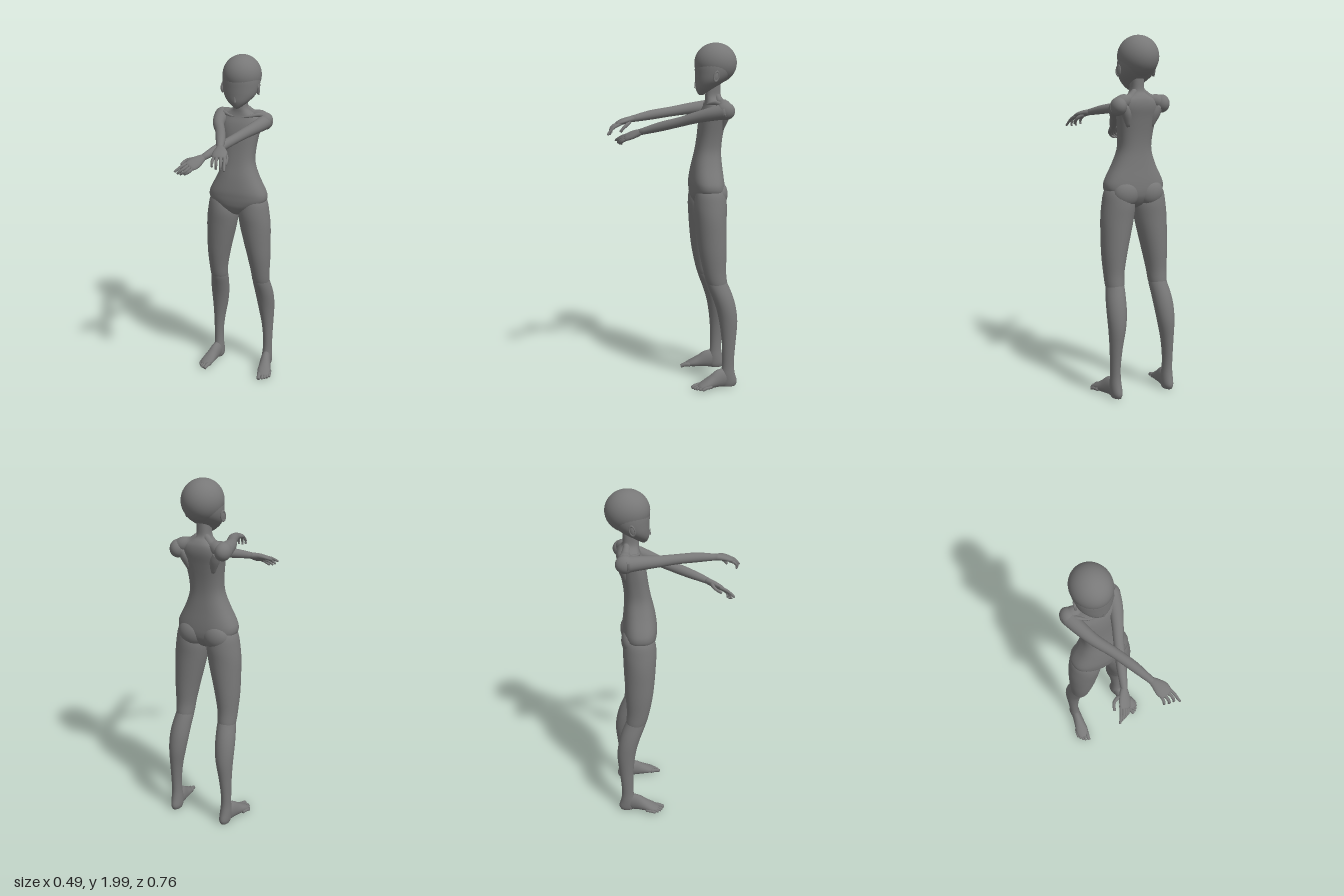
import * as THREE from 'three';

const material = new THREE.MeshStandardMaterial({ color: 0x787878 });
const V = (x, y, z) => new THREE.Vector3(x, y, z);
const bulge = (c, p) => Math.sign(c) * Math.abs(c) ** p;

// Smooth body through sections [x, y, z, radiusAcross, radiusDeep].
// With level = true every ring stays horizontal, otherwise rings follow the path.
// power below 1 makes the rings squarer.
function sweep(name, sections, { sides = 20, steps = 4, up = V(0, 0, 1), level = false, power = 1 } = {}) {
  const path = new THREE.CatmullRomCurve3(sections.map(s => V(s[0], s[1], s[2])), false, 'catmullrom', 0.5);
  const radii = new THREE.CatmullRomCurve3(sections.map(s => V(s[3], s[4] ?? s[3], 0)), false, 'catmullrom', 0.5);
  const rows = (sections.length - 1) * steps;
  const pos = [], index = [];
  for (let i = 0; i <= rows; i++) {
    const c = path.getPoint(i / rows), r = radii.getPoint(i / rows);
    const t = level ? V(0, 1, 0) : path.getTangent(i / rows);
    const u = up.clone().cross(t).normalize(), v = t.clone().cross(u);
    for (let j = 0; j < sides; j++) {
      const a = j / sides * Math.PI * 2;
      const p = c.clone().addScaledVector(u, r.x * bulge(Math.cos(a), power))
        .addScaledVector(v, r.y * bulge(Math.sin(a), power));
      pos.push(p.x, p.y, p.z);
    }
  }
  for (let i = 0; i < rows; i++) for (let j = 0; j < sides; j++) {
    const a = i * sides + j, b = i * sides + (j + 1) % sides;
    index.push(a, b, a + sides, b, b + sides, a + sides);
  }
  // end caps
  const first = pos.length / 3, last = rows * sides;
  for (const p of [path.getPoint(0), path.getPoint(1)]) pos.push(p.x, p.y, p.z);
  for (let j = 0; j < sides; j++) {
    const k = (j + 1) % sides;
    index.push(first, k, j, first + 1, last + j, last + k);
  }
  const geo = new THREE.BufferGeometry();
  geo.setAttribute('position', new THREE.Float32BufferAttribute(pos, 3));
  geo.setIndex(index);
  geo.computeVertexNormals();
  const mesh = new THREE.Mesh(geo, material);
  mesh.name = name;
  return mesh;
}

// Upright body from rows [y, half width, front z, back z]
const body = (name, rows, options) => sweep(name,
  rows.map(([y, w, f, b]) => [0, y, (f + b) / 2, w, (f - b) / 2]), { level: true, ...options });

function ball(name, x, y, z, rx, ry, rz, w = 24, h = 16) {
  const mesh = new THREE.Mesh(new THREE.SphereGeometry(1, w, h), material);
  mesh.name = name;
  mesh.position.set(x, y, z);
  mesh.scale.set(rx, ry, rz);
  return mesh;
}

// Tapered finger or toe along a bent path
const digit = (name, points, r) => sweep(name,
  [...points.map((p, i) => [...p, r * (1 - 0.12 * i)]),
    [...points.at(-1).map((c, k) => c + (c - points.at(-2)[k]) * 0.12), r * 0.3]],
  { sides: 8, steps: 3, up: V(0.2, 1, 0.1) });

function makeHead() {
  const head = new THREE.Group();
  head.name = 'head';
  head.add(ball('skull', 0, 1.885, -0.258, 0.112, 0.115, 0.122, 40, 28));
  head.add(body('face', [
    [1.704, 0.008, -0.166, -0.185], [1.716, 0.028, -0.154, -0.205], [1.745, 0.064, -0.143, -0.25],
    [1.78, 0.093, -0.141, -0.305], [1.82, 0.106, -0.14, -0.345], [1.87, 0.109, -0.14, -0.365],
    [1.92, 0.098, -0.153, -0.355], [1.95, 0.07, -0.185, -0.33]], { sides: 32 }));
  const nose = new THREE.Mesh(new THREE.ConeGeometry(0.009, 0.034, 6), material);
  nose.name = 'nose';
  nose.position.set(0, 1.764, -0.14);
  nose.rotation.x = 0.2;
  head.add(nose);
  for (const s of [-1, 1]) {
    const ear = new THREE.Group();
    ear.name = 'ear';
    ear.add(ball('earShell', 0, 0, 0, 0.009, 0.031, 0.017, 14, 10));
    const rim = new THREE.Mesh(new THREE.TorusGeometry(0.015, 0.004, 6, 18), material);
    rim.name = 'earRim';
    rim.rotation.y = Math.PI / 2;
    rim.scale.y = 1.75;
    rim.position.x = s * 0.005;
    ear.add(rim);
    ear.position.set(s * 0.107, 1.81, -0.238);
    ear.rotation.set(-0.2, s * 0.3, 0);
    head.add(ear);
  }
  return head;
}

function makeTorso() {
  const torso = new THREE.Group();
  torso.name = 'torso';
  torso.add(body('trunk', [
    [1.055, 0.012, -0.19, -0.23], [1.075, 0.045, -0.15, -0.27], [1.115, 0.12, -0.122, -0.298],
    [1.15, 0.168, -0.113, -0.306], [1.185, 0.178, -0.11, -0.306], [1.225, 0.165, -0.11, -0.303],
    [1.3, 0.126, -0.121, -0.295], [1.38, 0.098, -0.139, -0.29], [1.46, 0.099, -0.153, -0.296],
    [1.55, 0.113, -0.164, -0.312], [1.61, 0.122, -0.178, -0.325], [1.65, 0.107, -0.195, -0.323],
    [1.675, 0.064, -0.2, -0.31], [1.7, 0.04, -0.2, -0.29], [1.75, 0.036, -0.202, -0.287],
    [1.82, 0.037, -0.202, -0.289]], { sides: 40, power: 0.82 }));
  for (const s of [-1, 1]) {
    torso.add(ball('buttock', s * 0.075, 1.142, -0.262, 0.08, 0.075, 0.055));
    torso.add(sweep('collarbone', [[s * 0.012, 1.648, -0.2, 0.005], [s * 0.06, 1.655, -0.207, 0.008],
      [s * 0.105, 1.662, -0.24, 0.012], [s * 0.125, 1.655, -0.265, 0.012]], { sides: 10, up: V(0, 1, 0) }));
    torso.add(sweep('neckMuscle', [[s * 0.02, 1.7, -0.265, 0.018], [s * 0.06, 1.66, -0.275, 0.027],
      [s * 0.105, 1.643, -0.283, 0.04], [s * 0.14, 1.628, -0.285, 0.036]], { sides: 16 }));
    torso.add(sweep('shoulderBlade', [[s * 0.11, 1.62, -0.3, 0.022], [s * 0.088, 1.575, -0.293, 0.028, 0.024],
      [s * 0.07, 1.51, -0.28, 0.014, 0.012]], { sides: 12 }));
  }
  return torso;
}

function makeLeg(s) {
  const leg = new THREE.Group();
  leg.name = s > 0 ? 'leftLeg' : 'rightLeg';
  // rows: y, inner x, outer x, front z, back z
  const rings = rows => rows.map(([y, i, o, f, b]) =>
    [s * (i + o) / 2, y, (f + b) / 2, (o - i) / 2, (f - b) / 2]);
  leg.add(sweep('thigh', rings([
    [1.2, 0.05, 0.145, -0.15, -0.27], [1.15, 0.024, 0.177, -0.128, -0.298], [1.08, 0.004, 0.191, -0.119, -0.308],
    [1.0, 0.012, 0.2, -0.124, -0.306], [0.9, 0.035, 0.201, -0.133, -0.305], [0.8, 0.059, 0.2, -0.146, -0.303],
    [0.7, 0.079, 0.194, -0.167, -0.3], [0.63, 0.086, 0.19, -0.187, -0.306], [0.6, 0.095, 0.183, -0.21, -0.3]
  ].reverse()), { level: true, sides: 24 }));
  leg.add(sweep('shin', rings([
    [0.66, 0.092, 0.184, -0.185, -0.294], [0.62, 0.087, 0.19, -0.19, -0.312], [0.55, 0.091, 0.202, -0.217, -0.34],
    [0.48, 0.097, 0.207, -0.241, -0.358], [0.4, 0.109, 0.205, -0.259, -0.366], [0.3, 0.128, 0.2, -0.272, -0.358],
    [0.2, 0.139, 0.197, -0.277, -0.349], [0.13, 0.139, 0.196, -0.276, -0.347], [0.08, 0.135, 0.198, -0.268, -0.355],
    [0.035, 0.134, 0.196, -0.265, -0.367], [0.01, 0.14, 0.19, -0.275, -0.358]
  ].reverse()), { level: true, sides: 24 }));
  // foot, turned slightly outward
  leg.add(sweep('foot', [
    [s * 0.164, 0.04, -0.335, 0.018, 0.03], [s * 0.167, 0.058, -0.3, 0.028, 0.052],
    [s * 0.173, 0.06, -0.262, 0.032, 0.054], [s * 0.182, 0.047, -0.22, 0.036, 0.04], [s * 0.192, 0.034, -0.175, 0.041, 0.026],
    [s * 0.2, 0.025, -0.14, 0.034, 0.015], [s * 0.203, 0.022, -0.128, 0.024, 0.009]], { up: V(0, 1, 0) }));
  for (let i = 0; i < 5; i++) {
    const tip = [0.183, 0.203, 0.216, 0.227, 0.236][i], z = [-0.095, -0.104, -0.116, -0.131, -0.149][i];
    leg.add(digit('toe', [[s * (0.17 + i * 0.013), 0.026, z - 0.055], [s * (tip - 0.005), 0.025, z - 0.025],
      [s * tip, 0.016, z]], i ? 0.0105 : 0.0145));
  }
  return leg;
}

function makeArm(side, arm, palm, palmNormal, fingers, thumb) {
  const group = new THREE.Group();
  group.name = side + 'Arm';
  const [x, y, z] = arm[0];
  group.add(ball('shoulder', x, y, z, 0.044, 0.05, 0.054));
  const radius = [0.046, 0.039, 0.032, 0.028, 0.027, 0.018];
  group.add(sweep('armLength', arm.map((p, i) => [...p, radius[i]]), { up: V(0, 1, 0) }));
  group.add(sweep('palm', palm, { up: palmNormal, sides: 16 }));
  for (const f of fingers) group.add(digit('finger', f, 0.0098));
  group.add(digit('thumb', thumb, 0.0115));
  return group;
}

export function createModel() {
  const figure = new THREE.Group();
  figure.name = 'figure';
  figure.add(makeHead(), makeTorso(), makeLeg(-1), makeLeg(1));
  // right arm crosses above, palm down
  figure.add(makeArm('right',
    [[-0.133, 1.632, -0.283], [-0.115, 1.63, -0.2], [-0.083, 1.622, -0.1], [-0.033, 1.61, 0],
      [0.018, 1.595, 0.12], [0.06, 1.575, 0.235]],
    [[0.055, 1.577, 0.222, 0.018, 0.017], [0.068, 1.572, 0.25, 0.029, 0.018], [0.08, 1.563, 0.285, 0.041, 0.017],
      [0.087, 1.552, 0.315, 0.038, 0.013], [0.09, 1.546, 0.328, 0.026, 0.007]], V(0, 1, 0.2),
    [[[0.112, 1.553, 0.3], [0.127, 1.535, 0.337], [0.134, 1.512, 0.362], [0.14, 1.495, 0.376]],
      [[0.095, 1.553, 0.31], [0.108, 1.537, 0.345], [0.113, 1.51, 0.36], [0.112, 1.493, 0.36]],
      [[0.077, 1.551, 0.314], [0.083, 1.537, 0.345], [0.087, 1.512, 0.358], [0.085, 1.495, 0.356]],
      [[0.06, 1.551, 0.308], [0.06, 1.537, 0.337], [0.06, 1.518, 0.35], [0.059, 1.503, 0.348]]],
    [[0.085, 1.56, 0.25], [0.11, 1.545, 0.268], [0.12, 1.525, 0.29], [0.119, 1.508, 0.303]]));
  // left arm crosses below, palm turned inward
  figure.add(makeArm('left',
    [[0.136, 1.618, -0.288], [0.115, 1.602, -0.215], [0.075, 1.58, -0.13], [0.032, 1.555, -0.05],
      [-0.02, 1.525, 0.06], [-0.07, 1.492, 0.17]],
    [[-0.066, 1.495, 0.16, 0.018, 0.017], [-0.08, 1.485, 0.185, 0.028, 0.018], [-0.095, 1.473, 0.215, 0.036, 0.017],
      [-0.11, 1.462, 0.243, 0.034, 0.013], [-0.116, 1.457, 0.254, 0.024, 0.007]], V(0.45, 0.8, 0.4),
    [[[-0.129, 1.475, 0.232], [-0.15, 1.462, 0.268], [-0.166, 1.448, 0.29], [-0.178, 1.438, 0.302]],
      [[-0.118, 1.467, 0.24], [-0.138, 1.45, 0.275], [-0.157, 1.435, 0.288], [-0.168, 1.425, 0.288]],
      [[-0.107, 1.458, 0.246], [-0.124, 1.44, 0.276], [-0.143, 1.427, 0.284], [-0.155, 1.42, 0.28]],
      [[-0.096, 1.45, 0.247], [-0.107, 1.436, 0.27], [-0.124, 1.425, 0.276], [-0.136, 1.42, 0.272]]],
    [[-0.09, 1.485, 0.19], [-0.125, 1.486, 0.19], [-0.153, 1.478, 0.202], [-0.168, 1.463, 0.232]]));
  return figure;
}
